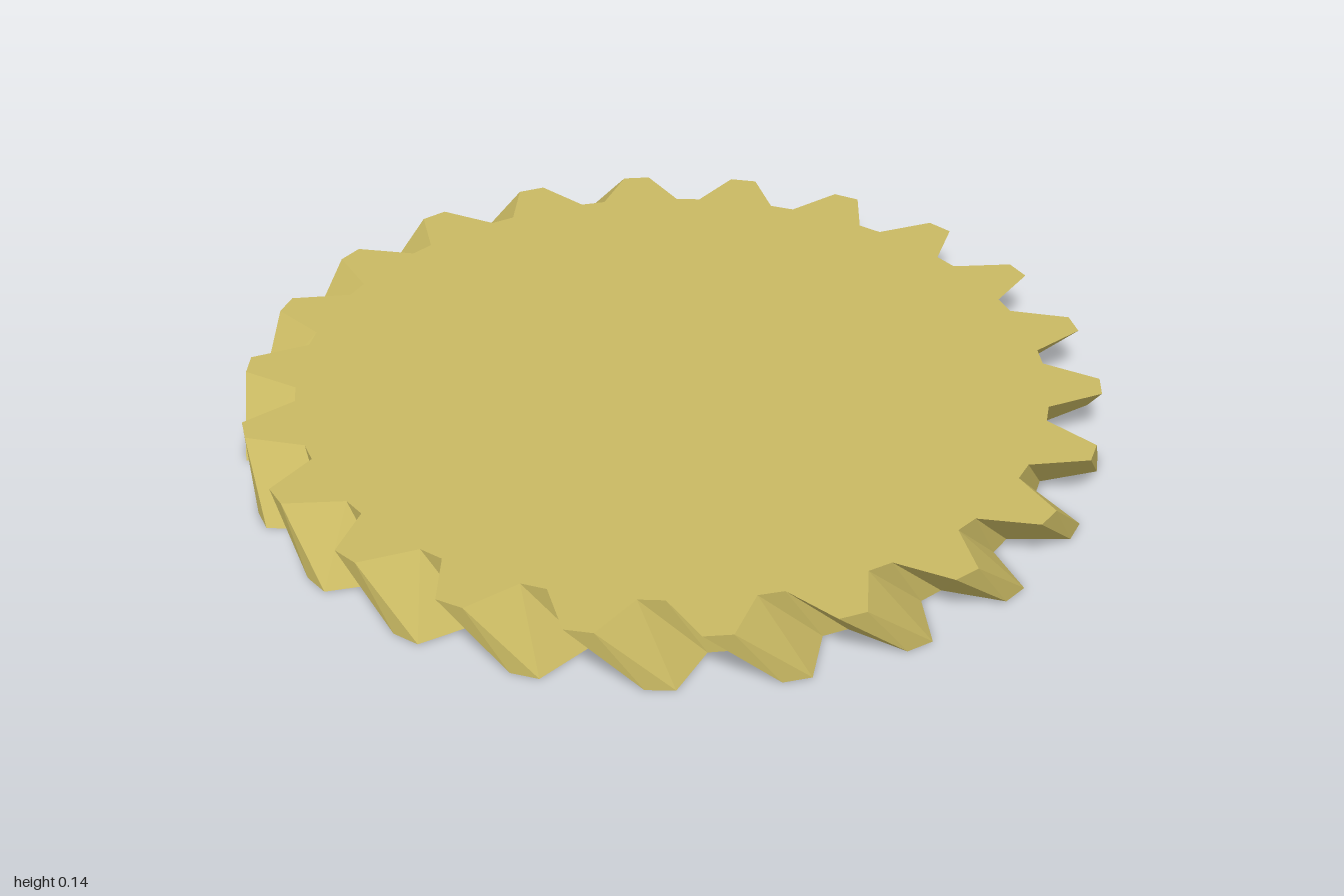
import * as THREE from 'three';

const TEETH = 22;
const HEIGHT = 0.138;
const ROOT_R = 0.877;
const TIP_R = 1;
const TWIST = 9.6; // degrees the bottom outline is turned against the top
const PITCH = 360 / TEETH;

// Trapezoid tooth: angle from the tooth centre in degrees, and radius
const TOOTH = [[-6.23, ROOT_R], [-1.87, TIP_R], [1.87, TIP_R], [6.23, ROOT_R]];

// Closed gear outline at one height, clockwise seen from above
function outline(y, turn) {
  const points = [];
  for (let i = 0; i < TEETH; i++) {
    for (const [offset, r] of TOOTH) {
      const a = THREE.MathUtils.degToRad(5.9 + i * PITCH + offset - turn);
      points.push([r * Math.sin(a), y, -r * Math.cos(a)]);
    }
  }
  return points;
}

function makeMesh(name, triangles, material) {
  const geometry = new THREE.BufferGeometry();
  geometry.setAttribute('position', new THREE.Float32BufferAttribute(triangles.flat(2), 3));
  geometry.computeVertexNormals();
  const mesh = new THREE.Mesh(geometry, material);
  mesh.name = name;
  return mesh;
}

export function createModel() {
  const brass = new THREE.MeshStandardMaterial({ color: 0xc8b862 });
  brass.name = 'brass';

  const top = outline(HEIGHT, 0);
  const bottom = outline(0, TWIST);
  const topFace = [], bottomFace = [], rim = [];

  for (let i = 0; i < top.length; i++) {
    const j = (i + 1) % top.length;
    topFace.push([[0, HEIGHT, 0], top[j], top[i]]);
    bottomFace.push([[0, 0, 0], bottom[i], bottom[j]]);
    // Slanted facets between the two outlines
    rim.push([top[i], top[j], bottom[j]], [top[i], bottom[j], bottom[i]]);
  }

  const gear = new THREE.Group();
  gear.name = 'helicalGear';
  gear.add(
    makeMesh('topFace', topFace, brass),
    makeMesh('bottomFace', bottomFace, brass),
    makeMesh('helicalTeeth', rim, brass),
  );
  return gear;
}
